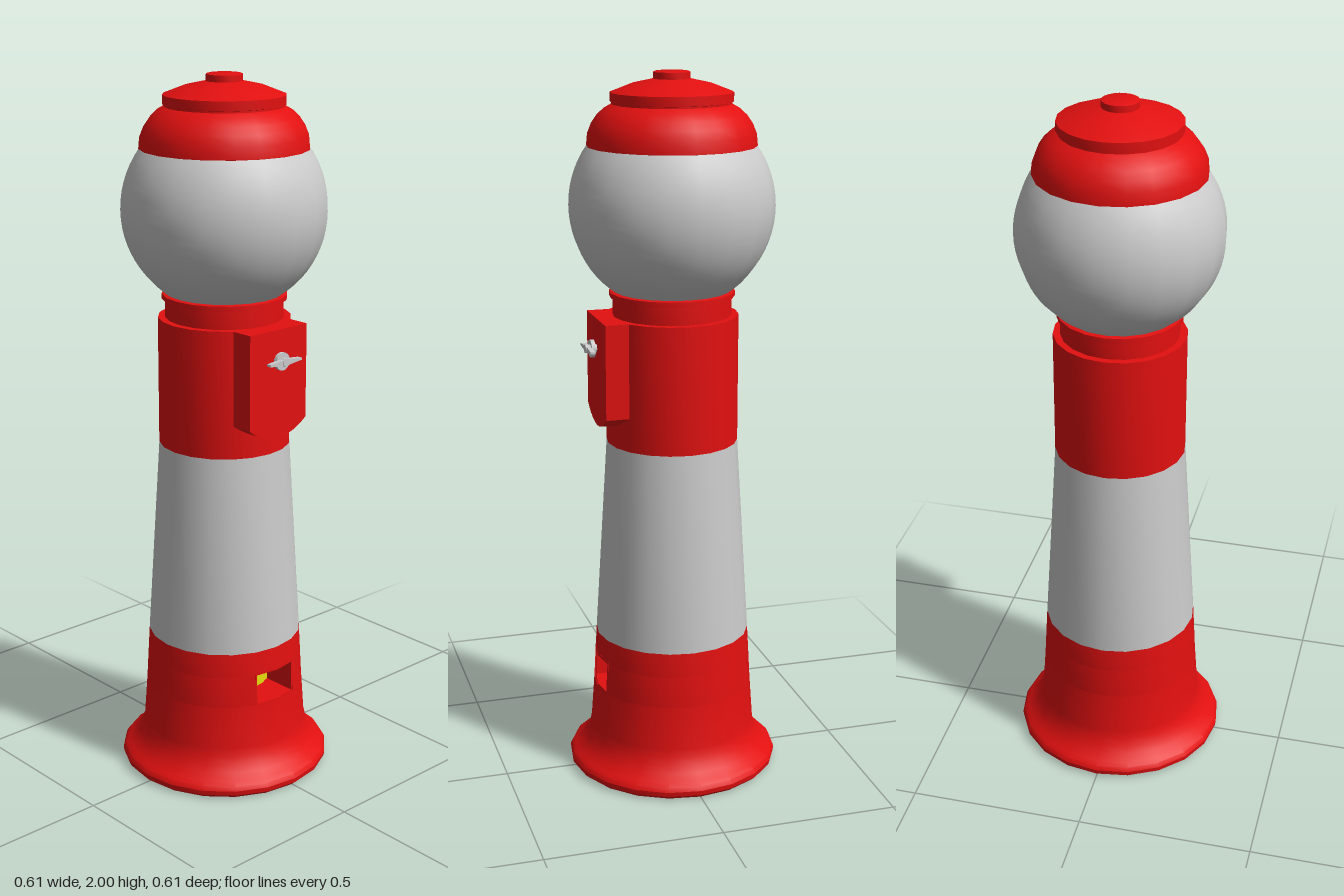
import * as THREE from 'three';
import { toCreasedNormals } from 'three/addons/utils/BufferGeometryUtils.js';

const SIDES = 20;
const material = (color) => new THREE.MeshStandardMaterial({ color, side: THREE.DoubleSide });

export function createModel() {
  const model = new THREE.Group();
  const red = material(0xe31010);
  const grey = material(0xcccccc);
  const yellow = material(0xe8dc10);

  const add = (name, geometry, mat, parent = model) => {
    const mesh = new THREE.Mesh(geometry, mat);
    mesh.name = name;
    parent.add(mesh);
    return mesh;
  };
  // Turned part from [radius, height] points, listed bottom to top
  const turned = (name, profile, mat, start = 0, segments = SIDES, parent = model) => {
    const points = profile.map(([r, y]) => new THREE.Vector2(r, y));
    const step = (Math.PI * 2) / SIDES;
    const lathe = new THREE.LatheGeometry(points, segments, start * step, segments * step);
    return add(name, toCreasedNormals(lathe, 0.55), mat, parent);
  };

  // Flared foot; the band at hatch height leaves two sides open towards +x
  const base = new THREE.Group();
  base.name = 'base';
  model.add(base);
  turned('flaredFoot', [
    [0.275, 0.005], [0.29, 0], [0.301, 0.01], [0.303, 0.024], [0.297, 0.036], [0.284, 0.045],
    [0.266, 0.062], [0.253, 0.081], [0.243, 0.103], [0.238, 0.125], [0.229, 0.25],
  ], red, 0, SIDES, base);
  turned('hatchBand', [[0.229, 0.25], [0.224, 0.34]], red, 6, SIDES - 2, base);
  turned('upperBaseBand', [[0.224, 0.34], [0.22, 0.41]], red, 0, SIDES, base);

  // Hatch tunnel leading in to the central tube
  const hatch = new THREE.Group();
  hatch.name = 'hatch';
  model.add(hatch);
  const floorShape = new THREE.Shape([
    [0.112, -0.069], [0.213, -0.069], [0.224, 0], [0.213, 0.069], [0.112, 0.069],
  ].map(([x, y]) => new THREE.Vector2(x, y)));
  for (const [name, y] of [['hatchFloor', 0.242], ['hatchCeiling', 0.34]]) {
    const plate = new THREE.ExtrudeGeometry(floorShape, { depth: 0.008, bevelEnabled: false });
    add(name, plate.rotateX(-Math.PI / 2), red, hatch).position.y = y;
  }
  for (const side of [-1, 1]) {
    add('hatchWall', new THREE.BoxGeometry(0.1, 0.1, 0.006), red, hatch)
      .position.set(0.162, 0.295, side * 0.071);
  }
  turned('innerTube', [[0.13, 0], [0.13, 0.98]], yellow);

  // Column
  turned('column', [[0.22, 0.41], [0.185, 0.98]], grey);
  turned('collar', [
    [0.185, 0.98], [0.185, 1.34], [0.165, 1.34], [0.165, 1.392],
    [0.174, 1.392], [0.174, 1.406], [0.15, 1.41],
  ], red);

  // Globe, cut where it meets the collar and the cap
  const globe = [];
  const low = Math.asin(-0.235 / 0.283), high = Math.asin(0.165 / 0.283);
  for (let i = 0; i <= 18; i++) {
    const a = low + ((high - low) * i) / 18;
    globe.push([0.283 * Math.cos(a), 1.64 + 0.283 * Math.sin(a)]);
  }
  turned('globe', globe, grey);

  // Cap, lid and button
  turned('cap', [
    [0.225, 1.8], [0.232, 1.803], [0.229, 1.835], [0.218, 1.862], [0.203, 1.884],
    [0.184, 1.902], [0.163, 1.914], [0.163, 1.92],
  ], red);
  turned('lid', [
    [0.16, 1.918], [0.167, 1.92], [0.167, 1.945], [0.11, 1.967], [0.05, 1.98],
    [0.05, 1.998], [0.045, 2], [0, 2],
  ], red);

  // Coin box with a rounded lower edge
  const boxShape = new THREE.Shape();
  boxShape.moveTo(-0.105, 1.34);
  boxShape.lineTo(-0.105, 1.075);
  boxShape.quadraticCurveTo(-0.06, 1.037, 0, 1.035);
  boxShape.quadraticCurveTo(0.06, 1.037, 0.105, 1.075);
  boxShape.lineTo(0.105, 1.34);
  const box = new THREE.ExtrudeGeometry(boxShape, { depth: 0.087, bevelEnabled: false, curveSegments: 6 });
  add('coinBox', box.rotateY(Math.PI / 2), red).position.x = 0.13;

  // Turning handle
  const handle = new THREE.Group();
  handle.name = 'handle';
  handle.position.set(0.217, 1.255, 0);
  model.add(handle);
  const disc = (name, r, from, to) =>
    add(name, new THREE.CylinderGeometry(r, r, to - from, 16).rotateZ(Math.PI / 2), grey, handle)
      .position.x = (from + to) / 2;
  disc('handleShaft', 0.012, 0, 0.032);
  disc('handleDisc', 0.025, 0.007, 0.018);
  const wing = new THREE.Shape([
    [-0.058, -0.003], [0, -0.009], [0.058, -0.003], [0.058, 0.003], [0, 0.009], [-0.058, 0.003],
  ].map(([x, y]) => new THREE.Vector2(x, y)));
  const wingGeometry = new THREE.ExtrudeGeometry(wing, { depth: 0.014, bevelEnabled: false });
  add('handleWing', wingGeometry.rotateY(Math.PI / 2), grey, handle).position.x = 0.016;

  return model;
}
